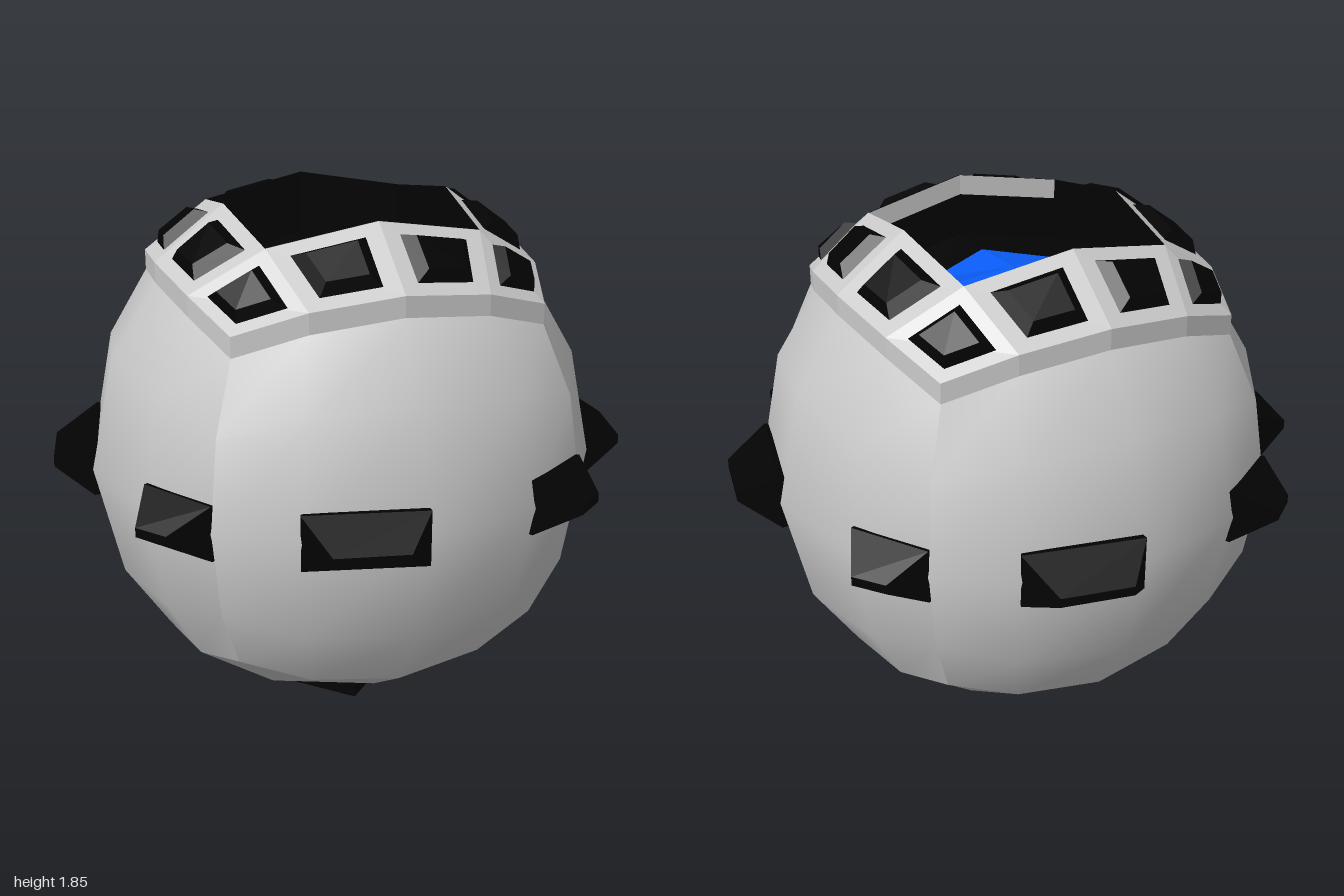
import * as THREE from 'three';
import { ConvexGeometry } from 'three/addons/geometries/ConvexGeometry.js';

const CENTER_Y = 0.965;
const V = (x, y, z) => new THREE.Vector3(x, y, z);
const grey = new THREE.MeshStandardMaterial({ color: 0xcccccc });
const greyFlat = new THREE.MeshStandardMaterial({ color: 0xcccccc, flatShading: true, side: THREE.DoubleSide });
const black = new THREE.MeshStandardMaterial({ color: 0x030303, flatShading: true, side: THREE.DoubleSide });
const blue = new THREE.MeshStandardMaterial({ color: 0x0a5cf5, flatShading: true, side: THREE.DoubleSide });

// Push a point of a cube out to the rounded body
function ballPoint(p) {
  const r = 0.885 + 0.0165 * (p.lengthSq() - 1);
  return p.normalize().multiplyScalar(r);
}

// Point of the cube's top face, raised by lift
function topPoint(u, v, lift = 0) {
  const p = ballPoint(V(u, 1, v));
  p.y += CENTER_Y + lift;
  return p;
}
const platePoint = (u, v) => topPoint(u, v, Math.max(Math.abs(u), Math.abs(v)) > 0.9 ? 0.07 : 0.09);

// Square loop of grid points at distance level from the middle of the top face
function loop(level, fn) {
  const pts = [];
  for (let k = 0; k < 4; k++) {
    for (let t = -level; t < level - 0.01; t += 0.5) {
      const [u, v] = [[t, level], [level, -t], [-t, -level], [-level, t]][k];
      pts.push(fn(u, v));
    }
  }
  return pts;
}

// Quads joining a lower loop to an upper loop
function band(lower, upper) {
  return lower.map((p, i) => {
    const n = (i + 1) % lower.length;
    return [p, lower[n], upper[n], upper[i]];
  });
}

function quadMesh(name, quads, material) {
  const pts = quads.flatMap(([a, b, c, d]) => [a, b, c, a, c, d]);
  const g = new THREE.BufferGeometry().setFromPoints(pts);
  g.computeVertexNormals();
  const m = new THREE.Mesh(g, material);
  m.name = name;
  return m;
}

function hullMesh(name, pts) {
  const m = new THREE.Mesh(new ConvexGeometry(pts), black);
  m.name = name;
  return m;
}

export function createModel() {
  const model = new THREE.Group();
  model.name = 'sphericalPod';

  // Body: five curved faces of a rounded cube, open at the top
  const body = new THREE.Group();
  body.name = 'body';
  for (let k = 0; k < 5; k++) {
    const g = new THREE.PlaneGeometry(2, 2, 4, 4).translate(0, 0, 1);
    const pos = g.attributes.position;
    for (let i = 0; i < pos.count; i++) {
      const p = ballPoint(V().fromBufferAttribute(pos, i));
      pos.setXYZ(i, p.x, p.y, p.z);
    }
    if (k < 4) g.rotateY(k * Math.PI / 2);
    else g.rotateX(Math.PI / 2);
    g.translate(0, CENTER_Y, 0);
    g.computeVertexNormals();
    const face = new THREE.Mesh(g, grey);
    face.name = k < 4 ? 'sideShell' : 'bottomShell';
    body.add(face);
  }
  model.add(body);

  // Raised top frame of twelve cells, each with a tapered dark panel
  const cells = [];
  const panels = new THREE.Group();
  panels.name = 'framePanels';
  for (let i = 0; i < 4; i++) {
    for (let j = 0; j < 4; j++) {
      if (i % 3 && j % 3) continue;
      const u = i / 2 - 1, v = j / 2 - 1;
      const q = [platePoint(u, v), platePoint(u, v + 0.5), platePoint(u + 0.5, v + 0.5), platePoint(u + 0.5, v)];
      cells.push(q);
      const mid = V(0, 0, 0);
      q.forEach(p => mid.addScaledVector(p, 0.25));
      const normal = q[2].clone().sub(q[0]).cross(q[3].clone().sub(q[1])).normalize();
      const ring = (s, h) => q.map(p => mid.clone().lerp(p, s).addScaledVector(normal, h));
      panels.add(hullMesh('framePanel', [...ring(0.66, 0), ...ring(0.45, 0.035)]));
    }
  }
  model.add(quadMesh('topFrame', cells, greyFlat), panels);
  model.add(quadMesh('frameSkirt', band(loop(1, (u, v) => topPoint(u, v)), loop(1, platePoint)), greyFlat));

  // Dark well with a blue floor inside the frame
  const depth = 0.22;
  const wellPoint = (u, v, s = 1) => {
    const p = platePoint(u, v);
    return V(p.x * s, p.y - depth, p.z * s);
  };
  const floorPoint = (u, v) => wellPoint(u, v, 0.575);
  const wellBase = loop(0.5, (u, v) => wellPoint(u, v));
  model.add(quadMesh('well', [
    ...band(wellBase, loop(0.5, platePoint)),
    ...band(wellBase, loop(0.5, floorPoint)),
  ], black));
  const floor = [];
  for (const u of [-0.5, 0]) {
    for (const v of [-0.5, 0]) {
      const c = (a, b) => (a || b ? floorPoint(a, b) : V(0, 1.65, 0));
      floor.push([c(u, v), c(u, v + 0.5), c(u + 0.5, v + 0.5), c(u + 0.5, v)]);
    }
  }
  model.add(quadMesh('blueFloor', floor, blue));

  // Light strip along the front wall of the well
  const strip = [-0.5, 0].map(u => {
    const a = platePoint(u, 0.5), b = platePoint(u + 0.5, 0.5);
    const low = p => V(p.x, p.y - 0.07, p.z - 0.004);
    const high = p => V(p.x, p.y, p.z - 0.004);
    return [low(b), low(a), high(a), high(b)];
  });
  model.add(quadMesh('wellStrip', strip, greyFlat));

  // Eight wedge thrusters round the equator: two shapes on each quarter
  // Each shape: [base x, z] pairs, then [ridge x, z] pairs
  const wedges = [
    [[0.885, 0], [0.79, 0.395], [0.95, 0.345], [1.0, 0.11]],
    [[0.395, 0.79], [0.635, 0.635], [0.635, 0.78], [0.54, 0.855]],
  ];
  const thrusters = new THREE.Group();
  thrusters.name = 'thrusters';
  for (let k = 0; k < 4; k++) {
    for (const w of wedges) {
      const pts = [];
      w.forEach(([x, z], i) => {
        const h = i < 2 ? 0.095 : 0.016;
        for (const s of [-1, 1]) {
          pts.push(V(x, s * h, z));
          if (i < 2) pts.push(V(x * 0.95, s * h, z * 0.95));
        }
      });
      const m = hullMesh('thruster', pts);
      m.position.y = CENTER_Y;
      m.rotation.y = k * Math.PI / 2;
      thrusters.add(m);
    }
  }
  model.add(thrusters);

  // Four-sided foot, set with its corners on the axes
  const foot = new THREE.Mesh(new THREE.CylinderGeometry(0.2, 0.2, 0.13, 4), black);
  foot.name = 'foot';
  foot.position.y = 0.065;
  model.add(foot);

  return model;
}
